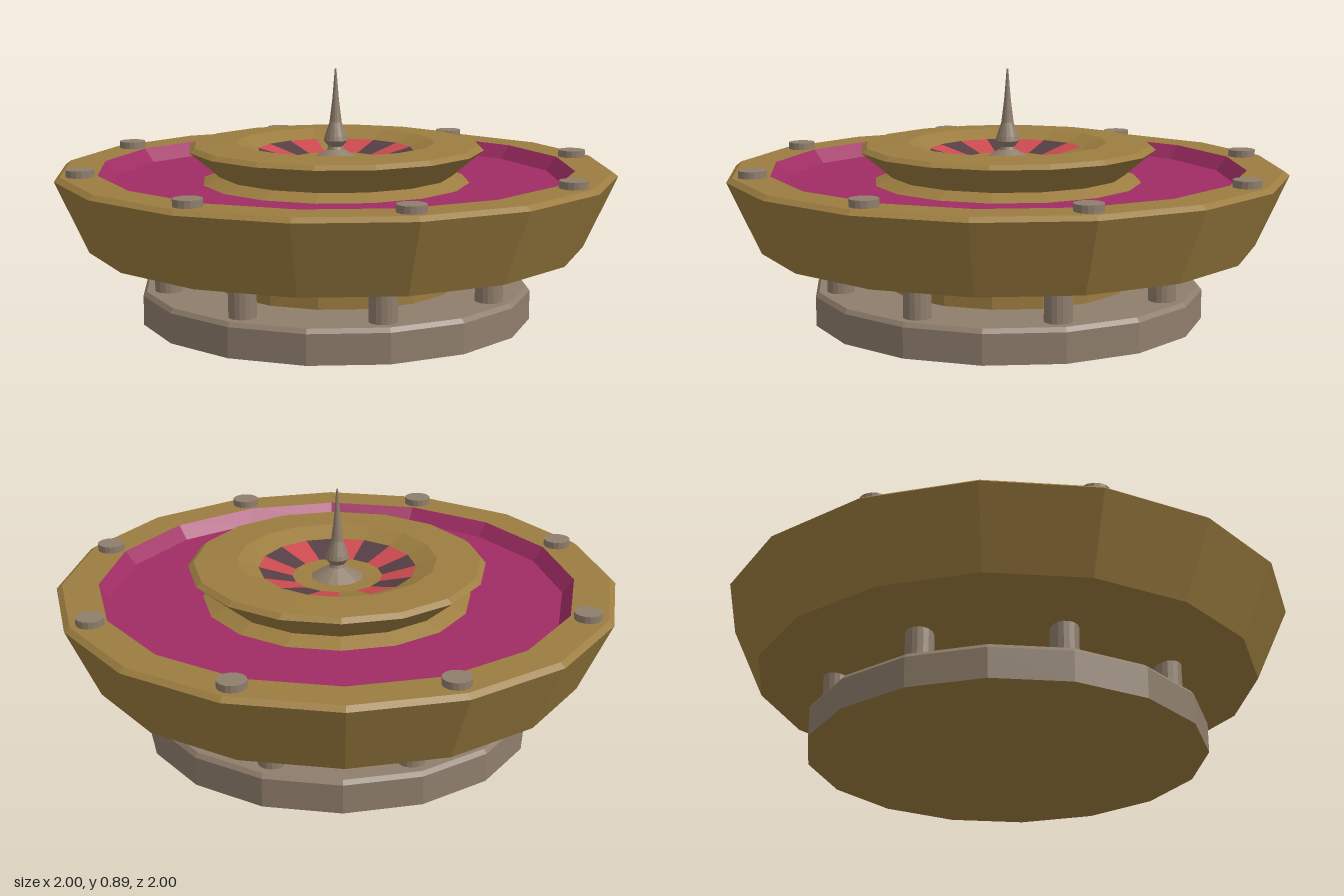
import * as THREE from 'three';

const SIDES = 16;
const STEP = (Math.PI * 2) / SIDES;

export function createModel() {
  const root = new THREE.Group();
  root.name = 'rouletteFountain';

  const material = (name, color, flatShading = true) => {
    const m = new THREE.MeshStandardMaterial({ color, flatShading });
    m.name = name;
    return m;
  };
  const gold = material('gold', 0x9c7d40);
  const stone = material('stone', 0x8f7e6c);
  const magenta = material('magenta', 0xa02d64);
  const red = material('red', 0xcb4a50);
  const dark = material('darkPlum', 0x553f45);

  const add = (name, geometry, mat, parent = root) => {
    const mesh = new THREE.Mesh(geometry, mat);
    mesh.name = name;
    parent.add(mesh);
    return mesh;
  };
  // Turned part: profile runs bottom to top on outer faces
  const turned = (name, profile, mat, parent = root, start = 0, count = SIDES) =>
    add(name, new THREE.LatheGeometry(
      profile.map(([r, y]) => new THREE.Vector2(r, y)), count, start, count * STEP), mat, parent);
  // Eight short cylinders in a circle
  const ring = (name, distance, radius, y0, y1) => {
    const group = new THREE.Group();
    group.name = name + 's';
    const geometry = new THREE.CylinderGeometry(radius, radius, y1 - y0, 16);
    for (let i = 0; i < 8; i++) {
      const a = (i * Math.PI) / 4;
      add(name, geometry, stone, group)
        .position.set(Math.sin(a) * distance, (y0 + y1) / 2, Math.cos(a) * distance);
    }
    root.add(group);
  };

  // Base slab, with a gold underside, and the pedestal on it
  turned('baseUnderside', [[0, 0], [0.7, 0]], gold);
  turned('base', [[0.7, 0], [0.7, 0.105], [0.688, 0.12], [0, 0.12]], stone);
  turned('pedestal', [[0.44, 0.12], [0.44, 0.2]], gold);
  ring('post', 0.61, 0.048, 0.12, 0.24);

  // Large outer bowl with its rim, lining and studs
  turned('outerBowl', [
    [0, 0.195], [0.48, 0.195], [0.885, 0.27], [1, 0.525], [0.98, 0.54], [0.85, 0.54],
  ], gold);
  turned('bowlLining', [[0.85, 0.54], [0.81, 0.49], [0.48, 0.49]], magenta);
  ring('stud', 0.91, 0.049, 0.53, 0.565);

  // Raised wheel: flared outside, dished inside
  turned('wheelOuter', [
    [0.48, 0.49], [0.42, 0.515], [0.53, 0.608], [0.51, 0.623], [0.355, 0.63], [0.28, 0.6],
  ], gold);
  turned('wheelHub', [[0.16, 0.567], [0, 0.56]], gold);

  // Alternating pockets, with one plain gap at the back
  const pockets = new THREE.Group();
  pockets.name = 'pockets';
  for (let k = 0; k < SIDES; k++) {
    const mat = k === 0 ? gold : k % 2 ? red : dark;
    turned('pocket', [[0.28, 0.6], [0.16, 0.567]], mat, pockets, Math.PI - (k + 1) * STEP, 1);
  }
  root.add(pockets);

  // Central spindle
  turned('spindle', [
    [0.098, 0.561], [0.03, 0.602], [0.026, 0.613], [0.043, 0.634], [0.039, 0.65],
    [0.022, 0.7], [0.012, 0.78], [0.003, 0.89], [0, 0.892],
  ], stone);

  return root;
}
